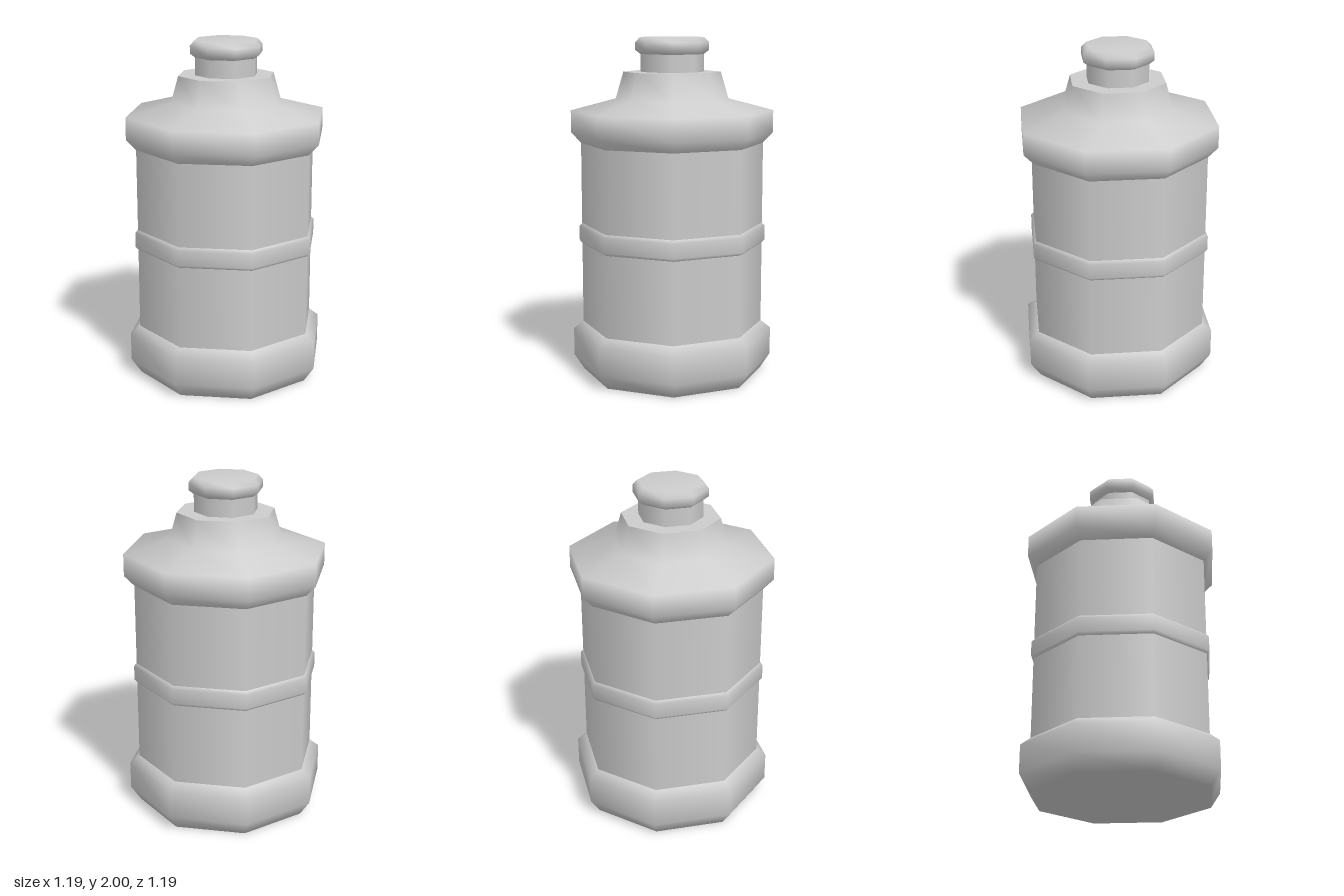
import * as THREE from 'three';

const SIDES = 8;

export function createModel() {
  const group = new THREE.Group();
  group.name = 'bottle';
  const material = new THREE.MeshStandardMaterial({ color: 0xcccccc });

  // Each part is an eight-sided turned profile of [radius, height], bottom to top
  const turned = (name, profile) => {
    const points = profile.map(([r, y]) => new THREE.Vector2(r, y));
    const mesh = new THREE.Mesh(new THREE.LatheGeometry(points, SIDES), material);
    mesh.name = name;
    group.add(mesh);
  };

  // Bulging foot, closed underneath
  turned('base', [[0, 0], [0.535, 0], [0.595, 0.09], [0.595, 0.255], [0.538, 0.3]]);
  turned('baseRim', [[0.538, 0.3], [0.5, 0.3]]);

  // Straight walls with a raised band around the middle
  turned('body', [[0.537, 0.29], [0.537, 1.39]]);
  turned('band', [[0.537, 0.783], [0.553, 0.8], [0.553, 0.885], [0.537, 0.903]]);

  // Shoulder sweeping up into the collar, with a flat ledge on top
  turned('shoulder', [
    [0.537, 1.383], [0.595, 1.445], [0.595, 1.575], [0.33, 1.645], [0.285, 1.8],
  ]);
  turned('collarLedge', [[0.285, 1.8], [0.15, 1.8]]);

  // Neck and rounded stopper
  turned('neck', [[0.185, 1.8], [0.185, 1.91]]);
  turned('cap', [
    [0.185, 1.902], [0.215, 1.925], [0.215, 1.97], [0.187, 2], [0, 2],
  ]);

  return group;
}
